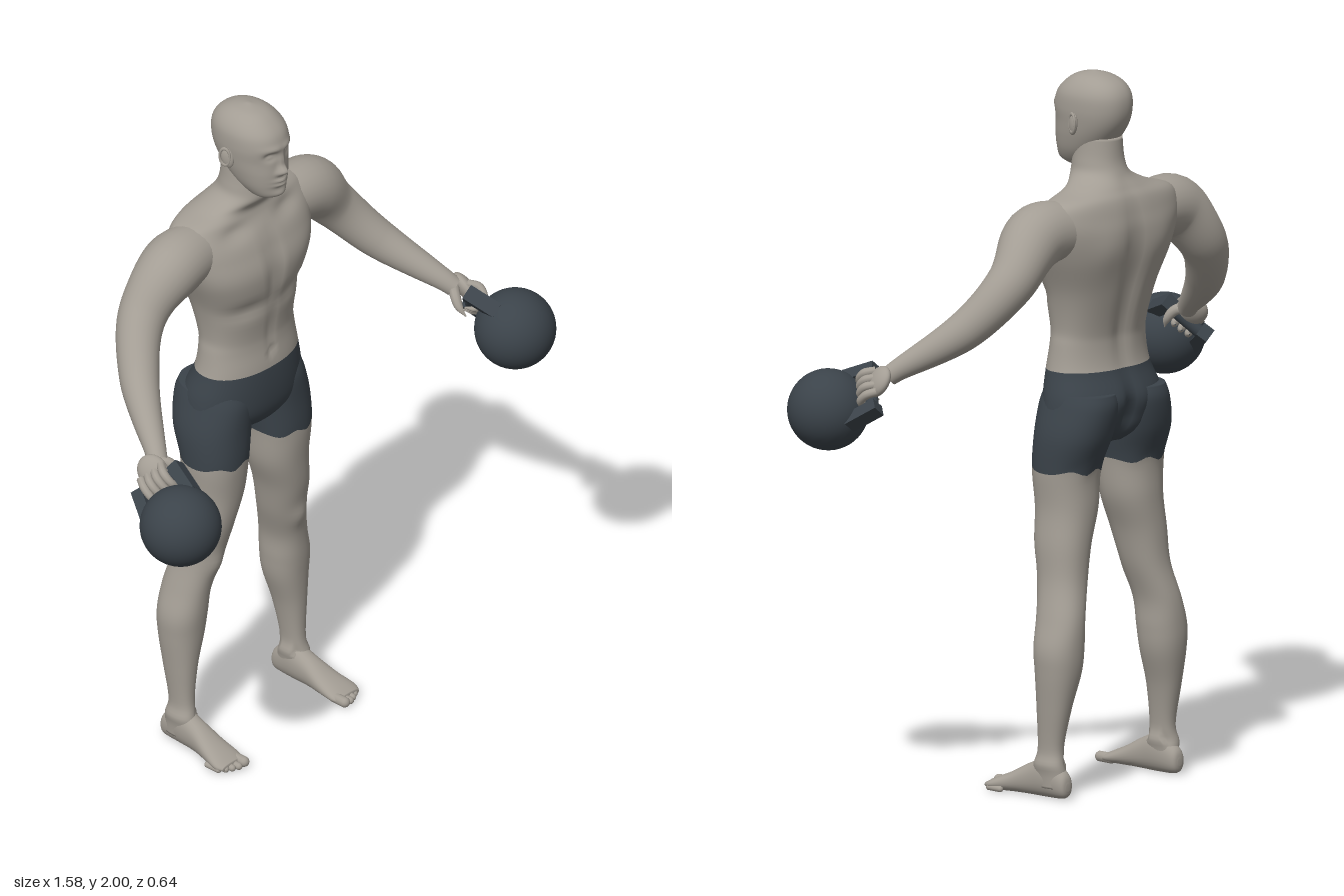
import * as THREE from 'three';

const skin = new THREE.MeshStandardMaterial({ color: 0xa39d94 });
skin.name = 'skin';
const charcoal = new THREE.MeshStandardMaterial({ color: 0x3b434a });
charcoal.name = 'charcoal';

const V = (x, y, z) => new THREE.Vector3(x, y, z);
const gauss = (d, s) => Math.exp(-(d * d) / (s * s));
const hemLow = 0.905, waist = 1.18;

// Catmull-Rom value along a list
function spline(list, t) {
  const i = Math.min(Math.floor(t), list.length - 2), f = t - i;
  const at = (k) => list[Math.max(0, Math.min(list.length - 1, k))];
  const a = at(i - 1), b = at(i), c = at(i + 1), d = at(i + 2);
  return b + 0.5 * f * (c - a + f * (2 * a - 5 * b + 4 * c - d + f * (3 * (b - c) + d - a)));
}

// Skin over horizontal rings: rows of [y, centreX, radiusX, zFront, zBack, squareness]
function loft(rows, { segs = 40, steps = 6, bump = null } = {}) {
  rows = rows.slice().sort((a, b) => a[0] - b[0]);
  const cols = [0, 1, 2, 3, 4, 5].map((c) => rows.map((r) => r[c] ?? 2.2));
  const rings = (rows.length - 1) * steps;
  const pos = [], level = [], skinFaces = [], shortsFaces = [];
  for (let j = 0; j <= rings; j++) {
    const [y, cx, rx, zf, zb, n] = cols.map((c) => spline(c, j / steps));
    level.push(y);
    for (let i = 0; i < segs; i++) {
      const a = (i / segs) * Math.PI * 2, c = Math.cos(a), s = Math.sin(a);
      const e = (v) => Math.sign(v) * Math.pow(Math.abs(v), 2 / n);
      const p = V(cx + rx * e(c), y, (zf + zb) / 2 + ((zf - zb) / 2) * e(s));
      if (bump) bump(p, (zf + zb) / 2);
      pos.push(p.x, p.y, p.z);
    }
  }
  for (let j = 0; j < rings; j++) {
    const mid = (level[j] + level[j + 1]) / 2;
    const out = mid > hemLow && mid < waist ? shortsFaces : skinFaces;
    for (let i = 0; i < segs; i++) {
      const a = j * segs + i, b = j * segs + ((i + 1) % segs);
      out.push(a, a + segs, b, b, a + segs, b + segs);
    }
  }
  // End caps
  for (const j of [0, rings]) {
    const k = pos.length / 3;
    const r = rows[j ? rows.length - 1 : 0];
    pos.push(r[1], r[0], (r[3] + r[4]) / 2);
    const out = r[0] > hemLow && r[0] < waist ? shortsFaces : skinFaces;
    for (let i = 0; i < segs; i++) {
      const a = j * segs + i, b = j * segs + ((i + 1) % segs);
      if (j) out.push(k, b, a); else out.push(k, a, b);
    }
  }
  const g = new THREE.BufferGeometry();
  g.setAttribute('position', new THREE.Float32BufferAttribute(pos, 3));
  g.setIndex([...skinFaces, ...shortsFaces]);
  g.addGroup(0, skinFaces.length, 0);
  if (shortsFaces.length) g.addGroup(skinFaces.length, shortsFaces.length, 1);
  g.computeVertexNormals();
  return g;
}

// Tube along points whose radius follows a list
function limb(points, radii, segs = 20, steps = 28) {
  const curve = new THREE.CatmullRomCurve3(points);
  const g = new THREE.TubeGeometry(curve, steps, 1, segs, false);
  const p = g.attributes.position, v = V(0, 0, 0);
  for (let i = 0; i < p.count; i++) {
    const u = Math.floor(i / (segs + 1)) / steps, c = curve.getPointAt(u);
    v.fromBufferAttribute(p, i).sub(c).multiplyScalar(spline(radii, u * (radii.length - 1))).add(c);
    p.setXYZ(i, v.x, v.y, v.z);
  }
  g.computeBoundingSphere();
  return g;
}

function mirrored(geo) {
  const g = geo.clone().applyMatrix4(new THREE.Matrix4().makeScale(-1, 1, 1));
  const ix = g.index.array;
  for (let i = 0; i < ix.length; i += 3) [ix[i], ix[i + 2]] = [ix[i + 2], ix[i]];
  return g;
}

export function createModel() {
  const model = new THREE.Group();
  model.name = 'athlete';
  const body = [skin, charcoal];
  const add = (name, geo, mat) => {
    const m = new THREE.Mesh(geo, mat);
    m.name = name;
    model.add(m);
  };
  const pair = (name, geo, mat) => {
    add('left' + name, geo, mat);
    add('right' + name, mirrored(geo), mat);
  };

  // Torso, neck and upper shorts, with chest, spine and seat modelling
  add('torso', loft([
    [0.97, 0, 0.06, -0.13, -0.24], [1.0, 0, 0.13, -0.095, -0.275], [1.04, 0, 0.19, -0.075, -0.295],
    [1.1, 0, 0.193, -0.068, -0.308], [1.18, 0, 0.171, -0.07, -0.275], [1.25, 0, 0.16, -0.08, -0.265],
    [1.3, 0, 0.156, -0.08, -0.27, 2.3], [1.4, 0, 0.175, -0.067, -0.295, 2.4], [1.5, 0, 0.215, -0.058, -0.318, 2.6],
    [1.57, 0, 0.24, -0.078, -0.323, 2.5], [1.62, 0, 0.25, -0.1, -0.315, 2.3], [1.66, 0, 0.225, -0.122, -0.303],
    [1.687, 0, 0.14, -0.125, -0.285], [1.72, 0, 0.082, -0.1, -0.264, 2], [1.76, 0, 0.068, -0.1, -0.25, 2],
    [1.82, 0, 0.062, -0.105, -0.245, 2],
  ], {
    segs: 72, bump: (p, mid) => {
      const { x, y } = p, ax = Math.abs(x);
      if (p.z > mid) {
        p.z -= 0.014 * gauss(x, 0.018) * gauss(y - 1.5, 0.09);
        p.z -= 0.012 * gauss(y - 1.395, 0.025) * gauss(ax - 0.09, 0.07);
        p.z -= 0.006 * gauss(x, 0.012) * gauss(y - 1.3, 0.08);
        p.z -= 0.008 * gauss(x, 0.007) * gauss(y - 1.225, 0.01);
        p.z -= 0.012 * gauss(ax - 0.1, 0.05) * gauss(y - 1.635, 0.02);
      } else {
        p.z += 0.02 * gauss(x, 0.028) * gauss(y - 1.42, 0.2);
        p.z += 0.03 * gauss(x, 0.02) * gauss(y - 1.05, 0.07);
        p.z -= 0.006 * gauss(ax - 0.1, 0.05) * gauss(y - 1.53, 0.06);
      }
    },
  }), body);

  // Head with brow, eye sockets, nose, lips and chin
  add('head', loft([
    [1.735, 0, 0.03, -0.075, -0.13], [1.75, 0, 0.046, -0.048, -0.16], [1.78, 0, 0.063, -0.042, -0.2],
    [1.82, 0, 0.075, -0.04, -0.238], [1.86, 0, 0.082, -0.042, -0.264], [1.9, 0, 0.086, -0.039, -0.275],
    [1.94, 0, 0.083, -0.05, -0.272], [1.97, 0, 0.067, -0.077, -0.252], [1.99, 0, 0.041, -0.11, -0.215],
    [2.0, 0, 0.004, -0.158, -0.168],
  ], {
    segs: 80, steps: 10, bump: (p) => {
      const { x, y } = p, ax = Math.abs(x);
      if (p.z < -0.12) return;
      p.z += 0.022 * gauss(x, 0.012) * gauss(y - 1.834, 0.014) + 0.01 * gauss(x, 0.009) * gauss(y - 1.862, 0.022);
      p.z += 0.006 * gauss(ax - 0.014, 0.008) * gauss(y - 1.828, 0.008);
      p.z -= 0.014 * gauss(ax - 0.033, 0.016) * gauss(y - 1.884, 0.013);
      p.z += 0.006 * gauss(ax - 0.033, 0.009) * gauss(y - 1.881, 0.006);
      p.z += 0.005 * gauss(ax - 0.025, 0.03) * gauss(y - 1.906, 0.01);
      p.z += 0.01 * gauss(x, 0.022) * (gauss(y - 1.803, 0.006) + gauss(y - 1.789, 0.006));
      p.z += 0.007 * gauss(x, 0.025) * gauss(y - 1.757, 0.013);
    },
  }), body);
  const ear = new THREE.SphereGeometry(1, 18, 12).scale(0.01, 0.032, 0.019).rotateX(-0.2).rotateY(-0.35);
  pair('Ear', ear.translate(0.088, 1.862, -0.162), skin);
  pair('EarRim', new THREE.TorusGeometry(0.018, 0.004, 8, 20).scale(0.85, 1.45, 1)
    .rotateY(Math.PI / 2 - 0.35).translate(0.095, 1.866, -0.165), skin);

  // Legs with the lower part of the shorts
  pair('Leg', loft([
    [1.12, 0.098, 0.085, -0.09, -0.305], [1.08, 0.103, 0.093, -0.08, -0.315], [1.0, 0.118, 0.098, -0.08, -0.302],
    [0.905, 0.127, 0.091, -0.08, -0.268], [0.8, 0.13, 0.082, -0.09, -0.265], [0.7, 0.152, 0.07, -0.102, -0.265],
    [0.6, 0.167, 0.061, -0.125, -0.268], [0.5, 0.194, 0.058, -0.143, -0.286], [0.42, 0.207, 0.066, -0.15, -0.29],
    [0.35, 0.211, 0.061, -0.157, -0.285], [0.25, 0.221, 0.042, -0.164, -0.266], [0.14, 0.225, 0.029, -0.167, -0.246],
    [0.08, 0.226, 0.032, -0.155, -0.256], [0.03, 0.226, 0.03, -0.16, -0.262],
  ], {
    bump: (p, mid) => {
      if (p.z > mid) p.z += 0.01 * gauss(p.y - 0.585, 0.035) * gauss(p.x - 0.17, 0.03);
      p.x += (p.x > 0.2 ? 0.006 : -0.006) * gauss(p.y - 0.095, 0.018);
      p.y += 0.007 * Math.sin(p.x * 75) * gauss(p.y - hemLow, 0.02);
    },
  }), body);

  // Feet run heel to toe, turned down from vertical rings
  const footRows = [
    [-0.272, 0.225, 0.008, 0.025, 0.045], [-0.26, 0.225, 0.024, 0.004, 0.075], [-0.2, 0.225, 0.033, 0, 0.11],
    [-0.14, 0.227, 0.035, 0, 0.09], [-0.08, 0.231, 0.044, 0, 0.058], [-0.03, 0.235, 0.05, 0, 0.036],
    [-0.005, 0.234, 0.042, 0.004, 0.024],
  ].map(([z, x, r, lo, hi]) => [z, x, r, -lo, -hi]);
  pair('Foot', loft(footRows, { segs: 28 }).rotateX(Math.PI / 2), body);
  [[0.204, 0.022, 0.015], [0.226, 0.018, 0.0105], [0.244, 0.01, 0.01], [0.261, 0, 0.0095], [0.276, -0.014, 0.009]]
    .forEach(([x, tip, r], i) => {
      const toe = new THREE.CapsuleGeometry(r, 0.04, 6, 12).rotateX(Math.PI / 2);
      pair('Toe' + (i + 1), toe.translate(x, r, tip - r - 0.02), skin);
    });

  // Arms reach out, down and forward
  pair('Arm', limb([
    V(0.15, 1.585, -0.205), V(0.275, 1.578, -0.197), V(0.386, 1.468, -0.205), V(0.48, 1.345, -0.13),
    V(0.587, 1.222, 0.03), V(0.6, 1.205, 0.05),
  ], [0.075, 0.09, 0.073, 0.062, 0.054, 0.041, 0.028], 28, 44), skin);

  // Kettlebell frame: x along the grip, y away from the ball
  const ball = V(0.678, 1.1, 0.207), grip = V(0.632, 1.162, 0.088);
  const yAxis = grip.clone().sub(ball).normalize();
  const xAxis = V(0.095, -0.12, -0.06).addScaledVector(yAxis, -V(0.095, -0.12, -0.06).dot(yAxis)).normalize();
  const frame = new THREE.Matrix4().makeBasis(xAxis, yAxis, xAxis.clone().cross(yAxis)).setPosition(grip);
  const held = (name, geo, mat) => pair(name, geo.applyMatrix4(frame), mat);

  held('KettlebellBall', new THREE.SphereGeometry(0.113, 40, 28).translate(0, -0.142, 0), charcoal);
  held('KettlebellGrip', new THREE.CylinderGeometry(0.018, 0.018, 0.15, 16).rotateZ(Math.PI / 2), charcoal);
  for (const s of [-1, 1]) {
    const post = new THREE.BoxGeometry(0.034, 0.1, 0.044).rotateZ(s * 0.12).translate(s * 0.07, -0.03, 0);
    held(s < 0 ? 'InnerHandlePost' : 'OuterHandlePost', post, charcoal);
  }

  // Hand: palm over the grip, curled fingers and a thumb
  held('Palm', new THREE.SphereGeometry(1, 24, 16).scale(0.044, 0.05, 0.022).rotateX(0.35)
    .translate(-0.005, 0.035, 0.018), skin);
  for (let i = 0; i < 4; i++) {
    const x = -0.038 + i * 0.024, k = i === 3 ? 0.85 : 1;
    held('Finger' + (i + 1), limb([
      V(x, 0.035, 0.026), V(x, 0.0, 0.036 * k), V(x, -0.028, 0.014), V(x, -0.022, -0.02 * k), V(x, 0.004, -0.034 * k),
    ], [0.012, 0.0125, 0.0115, 0.011, 0.002], 10, 18), skin);
  }
  held('Thumb', limb([
    V(-0.02, 0.065, 0.005), V(-0.045, 0.045, -0.02), V(-0.045, 0.018, -0.042), V(-0.032, -0.012, -0.052),
  ], [0.016, 0.015, 0.012, 0.002], 10, 18), skin);

  return model;
}
